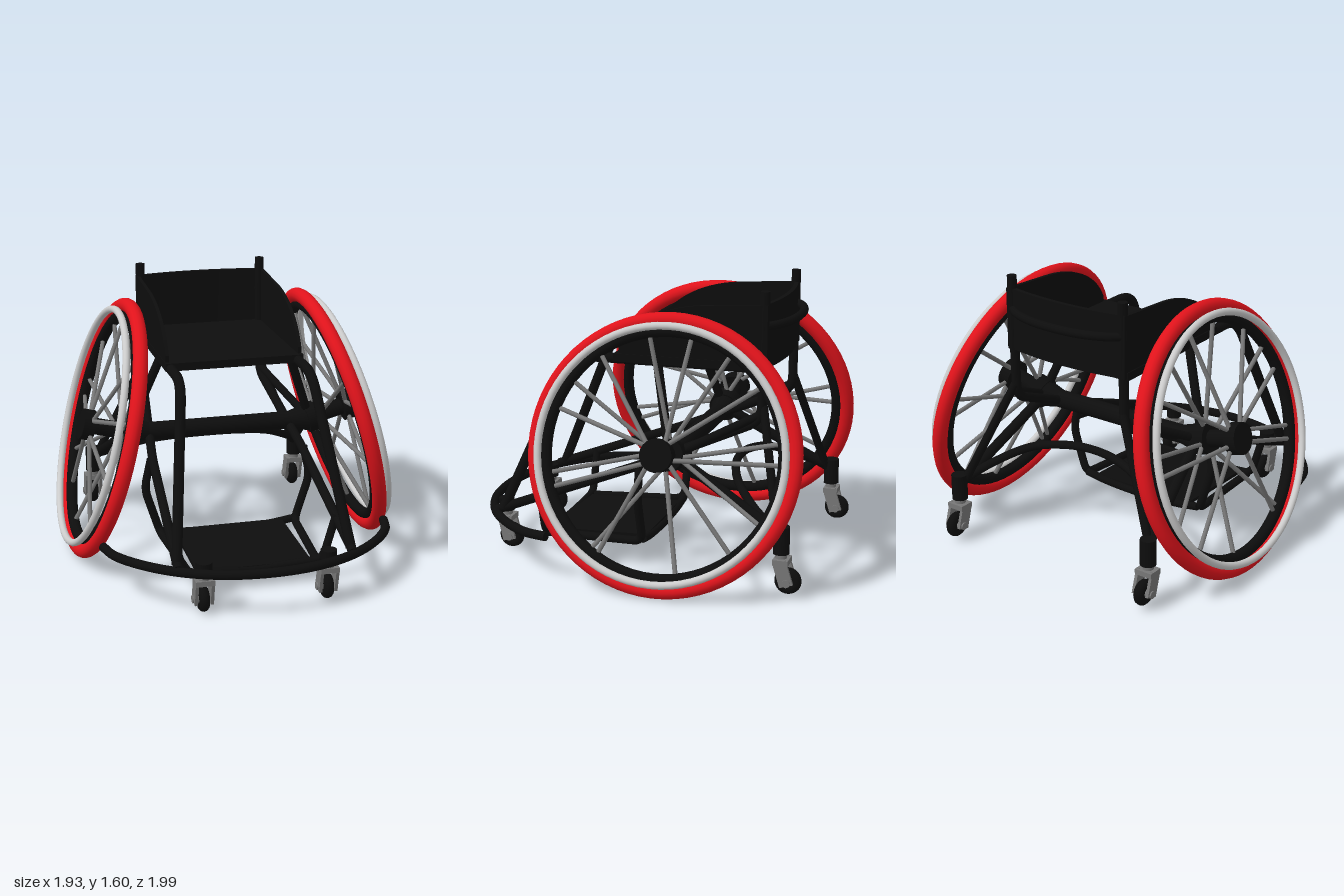
import * as THREE from 'three';

const mat = (color) => new THREE.MeshStandardMaterial({ color, side: THREE.DoubleSide });
const V = (p) => new THREE.Vector3(...p);

export function createModel() {
  const model = new THREE.Group();
  const black = mat(0x0d0d0d), red = mat(0xe0131b), silver = mat(0xbcbcbc), grey = mat(0x777777);

  function add(parent, name, geo, material, pos = [0, 0, 0]) {
    const m = new THREE.Mesh(geo, material);
    m.name = name;
    m.position.set(...pos);
    parent.add(m);
    return m;
  }
  // straight rod between two points
  function rod(parent, name, a, b, r, material, r2 = r, sides = 12) {
    const p = V(a), q = V(b), d = q.clone().sub(p);
    const m = add(parent, name, new THREE.CylinderGeometry(r2, r, d.length(), sides), material);
    m.position.copy(p).add(q).multiplyScalar(0.5);
    m.quaternion.setFromUnitVectors(new THREE.Vector3(0, 1, 0), d.normalize());
  }
  // frame tube along a curve, with flat closed ends
  function tube(name, curve, r) {
    add(model, name, new THREE.TubeGeometry(curve, 64, r, 12), black);
    for (const t of [0, 1]) {
      const cap = add(model, name + 'End', new THREE.CircleGeometry(r, 12), black, curve.getPointAt(t).toArray());
      cap.quaternion.setFromUnitVectors(new THREE.Vector3(0, 0, 1), curve.getTangentAt(t).multiplyScalar(t ? 1 : -1));
    }
  }
  // bent tube: straight runs with rounded corners
  function pipe(name, pts, r, bend = 0.08) {
    const P = pts.map(V), path = new THREE.CurvePath();
    let start = P[0];
    for (let i = 1; i < P.length - 1; i++) {
      const toward = (q) => P[i].clone().add(q.clone().sub(P[i]).setLength(Math.min(bend, q.distanceTo(P[i]) * 0.45)));
      const a = toward(P[i - 1]), b = toward(P[i + 1]);
      path.add(new THREE.LineCurve3(start, a));
      path.add(new THREE.QuadraticBezierCurve3(a, P[i], b));
      start = b;
    }
    path.add(new THREE.LineCurve3(start, P[P.length - 1]));
    tube(name, path, r);
  }
  // smooth symmetric tube, given from the left end to the middle
  function arch(name, half, r) {
    const pts = [...half, ...half.slice(0, -1).reverse().map(([x, y, z]) => [-x, y, z])].map(V);
    tube(name, new THREE.CatmullRomCurve3(pts), r);
  }

  // main wheel, axle along local x; s mirrors the spoke pattern
  const spokeAngles = [-11, 10, 31, 52, 80, 90, 120, 140, 169, 210, 214, 250, 257, 289, 304, 323];
  function wheel(s) {
    const w = new THREE.Group();
    w.name = 'mainWheel';
    const ring = (name, R, r, x, m) => {
      add(w, name, new THREE.TorusGeometry(R, r, 14, 72), m, [x, 0, 0]).rotation.y = Math.PI / 2;
    };
    ring('tire', 0.725, 0.042, 0, red);
    ring('rim', 0.665, 0.033, 0, black);
    ring('handRim', 0.688, 0.021, 0.07, silver);
    rod(w, 'hubCore', [-0.18, 0, 0], [0.13, 0, 0], 0.05, black);
    rod(w, 'outerHubFlange', [0.06, 0, 0], [0.13, 0, 0], 0.09, black, 0.09, 20);
    rod(w, 'innerHubFlange', [-0.17, 0, 0], [-0.08, 0, 0], 0.09, black, 0.09, 20);
    spokeAngles.forEach((deg, i) => {
      const a = THREE.MathUtils.degToRad(deg), b = a + (i % 4 < 2 ? 0.3 : -0.3);
      rod(w, 'spoke', [i % 2 ? 0.08 : -0.1, Math.cos(b) * 0.07, -s * Math.sin(b) * 0.07],
        [0, Math.cos(a) * 0.65, -s * Math.sin(a) * 0.65], 0.013, grey, 0.013, 8);
    });
    return w;
  }
  // cambered wheels on both sides
  for (const s of [1, -1]) {
    const side = new THREE.Group();
    side.name = s > 0 ? 'leftWheelSide' : 'rightWheelSide';
    side.position.z = -0.23;
    side.rotation.y = s > 0 ? 0 : Math.PI;
    const w = wheel(s);
    w.position.set(0.7, 0.745, 0);
    w.rotation.z = 0.257;
    side.add(w);
    model.add(side);
  }

  // caster with rounded wheel, fork and swivel stem
  function caster(name, x, y, z, stemZ, stemTop) {
    const c = new THREE.Group();
    c.name = name;
    model.add(c);
    add(c, 'casterWheel', new THREE.TorusGeometry(0.044, 0.03, 12, 28), black, [x, y, z]).rotation.y = Math.PI / 2;
    rod(c, 'casterAxle', [x - 0.06, y, z], [x + 0.06, y, z], 0.022, grey);
    for (const s of [-1, 1]) {
      const f = add(c, 'forkBlade', new THREE.BoxGeometry(0.018, 0.14, 0.075), grey, [x + s * 0.044, y + 0.05, (z + stemZ) / 2]);
      f.rotation.x = Math.atan2(stemZ - z, 0.13);
    }
    add(c, 'forkCrown', new THREE.BoxGeometry(0.106, 0.03, 0.085), grey, [x, y + 0.11, stemZ - 0.005]);
    rod(c, 'swivel', [x, y + 0.12, stemZ], [x, y + 0.16, stemZ], 0.032, grey);
    rod(c, 'stem', [x, y + 0.15, stemZ], [x, stemTop, stemZ], 0.045, black, 0.045, 16);
  }

  for (const s of [1, -1]) {
    caster('frontCaster', s * 0.35, 0.076, 0.8, 0.83, 0.3);
    caster('rearCaster', s * 0.66, 0.1, -0.92, -0.88, 0.4);

    // back post running into the lower side tube
    pipe('lowerSideTube', [[s * 0.37, 1.6, -0.7], [s * 0.37, 0.89, -0.69], [s * 0.45, 0.6, -0.02], [s * 0.49, 0.27, 0.83]], 0.027);
    // seat rail bending down to the front
    pipe('seatRail', [[s * 0.37, 1.18, -0.68], [s * 0.37, 1.18, 0.4], [s * 0.49, 0.28, 0.79]], 0.029, 0.12);
    // braces from seat and back post to the axle
    rod(model, 'seatBrace', [s * 0.38, 1.18, -0.1], [s * 0.55, 0.72, -0.22], 0.026, black);
    rod(model, 'backBrace', [s * 0.37, 0.92, -0.68], [s * 0.55, 0.71, -0.25], 0.024, black);
    // arms to the rear caster
    rod(model, 'rearCasterArm', [s * 0.54, 0.7, -0.25], [s * 0.65, 0.35, -0.87], 0.03, black);
    rod(model, 'rearCasterStay', [s * 0.37, 0.97, -0.7], [s * 0.64, 0.36, -0.85], 0.024, black);
    rod(model, 'axleEnd', [s * 0.42, 0.7, -0.23], [s * 0.57, 0.71, -0.23], 0.05, black, 0.088, 16);
    // footrest side tube
    pipe('footrestTube', [[s * 0.46, 0.6, -0.02], [s * 0.5, 0.42, -0.02], [s * 0.41, 0.14, -0.02], [s * 0.37, 0.12, 0.57]], 0.024, 0.06);

    // side guard with a swept top edge
    const g = new THREE.Shape();
    g.moveTo(-0.12, 1.18);
    g.lineTo(-0.12, 1.25);
    g.bezierCurveTo(-0.05, 1.4, 0.15, 1.5, 0.4, 1.51);
    g.lineTo(0.72, 1.53);
    g.lineTo(0.72, 1.18);
    const guard = new THREE.ExtrudeGeometry(g, { depth: 0.02, bevelEnabled: false, curveSegments: 16 });
    add(model, 'sideGuard', guard, black, [s * 0.385 - 0.01, 0, 0]).rotation.y = Math.PI / 2;
  }

  // cross members
  rod(model, 'axleTube', [-0.57, 0.7, -0.23], [0.57, 0.7, -0.23], 0.053, black, 0.053, 20);
  arch('rearArch', [[0.65, 0.36, -0.86], [0.55, 0.44, -0.71], [0.38, 0.53, -0.57], [0.18, 0.57, -0.5], [0, 0.58, -0.48]], 0.024);
  arch('pushBar', [[0.37, 1.41, -0.7], [0.3, 1.41, -0.75], [0.17, 1.41, -0.795], [0, 1.41, -0.81]], 0.024);
  arch('frontBumper', [[0.82, 0.26, 0.4], [0.78, 0.26, 0.54], [0.65, 0.26, 0.71], [0.47, 0.26, 0.85], [0.25, 0.26, 0.94], [0, 0.26, 0.97]], 0.026);

  // seat and slightly bowed back upholstery
  add(model, 'seat', new THREE.BoxGeometry(0.8, 0.045, 0.85), black, [0, 1.19, -0.275]);
  const back = new THREE.BoxGeometry(0.75, 0.35, 0.025, 16, 1, 1), p = back.attributes.position;
  for (let i = 0; i < p.count; i++) p.setZ(i, p.getZ(i) - 0.04 * (1 - (p.getX(i) / 0.375) ** 2));
  back.computeVertexNormals();
  add(model, 'backrest', back, black, [0, 1.355, -0.7]);

  // footplate in its tube frame
  add(model, 'footplate', new THREE.BoxGeometry(0.66, 0.02, 0.6), black, [0, 0.135, 0.28]).rotation.x = 0.03;
  pipe('footplateHoop', [[0.475, 0.39, 0.57], [0.4, 0.13, 0.57], [0, 0.11, 0.57], [-0.4, 0.13, 0.57], [-0.475, 0.39, 0.57]], 0.023, 0.06);
  arch('footplateRearTube', [[0.4, 0.15, -0.02], [0.25, 0.13, -0.02], [0, 0.12, -0.02]], 0.023);

  return model;
}
